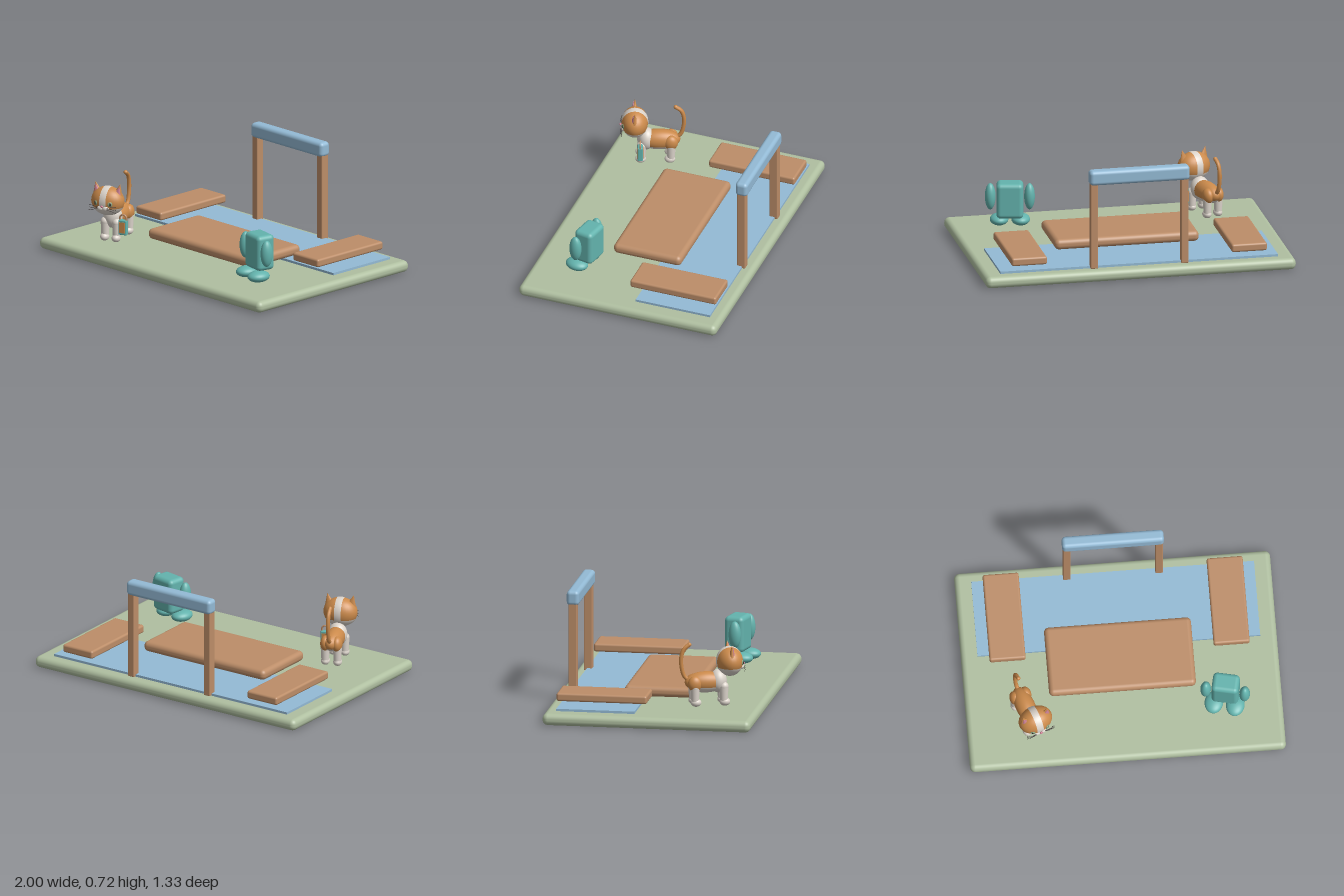
import * as THREE from 'three';
import { RoundedBoxGeometry } from 'three/addons/geometries/RoundedBoxGeometry.js';

const mat = (name, color) => {
  const m = new THREE.MeshStandardMaterial({ color });
  m.name = name;
  return m;
};

export function createModel() {
  const sage = mat('sage', 0xafbfa0);
  const blue = mat('skyBlue', 0x93bad5);
  const wood = mat('wood', 0xbc8d68);
  const teal = mat('teal', 0x63b3ad);
  const orange = mat('orangeFur', 0xcb8a4b);
  const cream = mat('creamFur', 0xdcd4cb);
  const pink = mat('pink', 0xcb8093);
  const dark = mat('dark', 0x3b3431);
  const green = mat('eyeGreen', 0x87a07c);

  const add = (parent, name, geo, m, x = 0, y = 0, z = 0) => {
    const mesh = new THREE.Mesh(geo, m);
    mesh.name = name;
    mesh.position.set(x, y, z);
    parent.add(mesh);
    return mesh;
  };
  const rbox = (w, h, d, r) => new RoundedBoxGeometry(w, h, d, 4, r);
  const ball = (rx, ry, rz, ...arcs) => new THREE.SphereGeometry(1, 32, 20, ...arcs).scale(rx, ry, rz);
  const tube = (pts, r, n = 24) =>
    new THREE.TubeGeometry(new THREE.CatmullRomCurve3(pts.map(p => new THREE.Vector3(...p))), n, r, 10);
  const group = (parent, name) => {
    const g = new THREE.Group();
    g.name = name;
    parent.add(g);
    return g;
  };

  const model = new THREE.Group();
  model.name = 'playground';

  // Ground slab, mat and central platform
  add(model, 'groundSlab', rbox(2, 0.075, 1.33, 0.034), sage, 0, 0.0375, 0);
  add(model, 'blueMat', new THREE.BoxGeometry(1.79, 0.015, 0.5), blue, 0, 0.0825, -0.34);
  add(model, 'platform', rbox(0.93, 0.068, 0.455, 0.03), wood, 0, 0.122, -0.002);

  // Benches and posts in mirrored pairs, joined by the beam
  for (const s of [-1, 1]) {
    add(model, 'bench', rbox(0.228, 0.053, 0.578, 0.014), wood, s * 0.709, 0.148, -0.313);
    add(model, 'post', rbox(0.048, 0.57, 0.055, 0.006), wood, s * 0.292, 0.36, -0.583);
  }
  add(model, 'beam', rbox(0.645, 0.095, 0.08, 0.024), blue, 0, 0.673, -0.583);

  // Seated teal figure
  const figure = group(model, 'tealFigure');
  figure.position.set(0.644, 0, 0.315);
  figure.rotation.y = -0.21;
  add(figure, 'body', rbox(0.17, 0.23, 0.128, 0.028), teal, 0, 0.272, 0);
  for (const s of [-1, 1]) {
    add(figure, 'arm', ball(0.034, 0.086, 0.04), teal, s * 0.124, 0.284, 0.026);
    add(figure, 'foot', ball(0.059, 0.036, 0.075), teal, s * 0.068, 0.126, 0.05);
  }

  // Cat
  const cat = group(model, 'cat');
  cat.position.set(-0.62, 0, 0.335);
  cat.rotation.y = 0.35;

  // Torso with pale belly and chest
  add(cat, 'torso', ball(0.062, 0.066, 0.135), orange, 0, 0.24, -0.015);
  add(cat, 'belly', ball(0.0635, 0.068, 0.133, 0, Math.PI * 2, 2.0, Math.PI - 2.0), cream, 0, 0.239, -0.015);
  add(cat, 'chest', ball(0.062, 0.075, 0.055), cream, 0, 0.243, 0.065);
  for (const s of [-1, 1]) {
    add(cat, 'haunch', ball(0.034, 0.05, 0.045), orange, s * 0.037, 0.235, -0.09);
    for (const z of [-0.09, 0.095]) {
      const leg = group(cat, z > 0 ? 'frontLeg' : 'hindLeg');
      leg.position.set(s * 0.04, 0, z);
      add(leg, 'shin', new THREE.CylinderGeometry(0.029, 0.024, 0.1, 20), cream, 0, 0.165, 0);
      add(leg, 'thigh', ball(0.029, 0.03, 0.029), cream, 0, 0.213, 0);
      add(leg, 'paw', ball(0.028, 0.026, 0.034), cream, 0, 0.115, 0.006);
    }
  }

  // Raised tail
  add(cat, 'tail', tube([[0, 0.25, -0.12], [0, 0.28, -0.152], [0, 0.335, -0.169],
    [0, 0.4, -0.172], [0, 0.455, -0.155], [0, 0.483, -0.12]], 0.013), orange);
  add(cat, 'tailTip', ball(0.013, 0.013, 0.013), orange, 0, 0.483, -0.12);

  // Head: fur shell, stripe along the crown, pale jaw
  const head = group(cat, 'head');
  head.position.set(0, 0.368, 0.138);
  add(head, 'skull', ball(0.11, 0.093, 0.084), orange);
  const stripe = new THREE.SphereGeometry(1, 40, 8, 0, Math.PI * 2, Math.PI / 2 - 0.2, 0.4)
    .rotateZ(Math.PI / 2).scale(0.111, 0.0945, 0.0855);
  add(head, 'crownStripe', stripe, cream);
  add(head, 'jaw', ball(0.1115, 0.0945, 0.0855, 0, Math.PI * 2, 1.95, Math.PI - 1.95), cream);

  // Face
  add(head, 'nose', ball(0.01, 0.007, 0.007), pink, 0, -0.018, 0.091);
  for (const s of [-1, 1]) {
    add(head, 'muzzle', ball(0.024, 0.018, 0.018), cream, s * 0.018, -0.034, 0.072);
    const eye = group(head, 'eye');
    eye.position.set(s * 0.05, -0.002, 0.0745);
    eye.rotation.y = s * 0.6;
    add(eye, 'iris', ball(0.016, 0.016, 0.006), green);
    add(eye, 'pupil', ball(0.006, 0.012, 0.004), dark, 0, 0, 0.004);
    for (const k of [-1, 0, 1]) {
      add(head, 'whisker', tube([[s * 0.03, -0.03 + k * 0.006, 0.085],
        [s * 0.062, -0.03 + k * 0.012, 0.088], [s * 0.095, -0.034 + k * 0.02, 0.08]], 0.0014, 8), dark);
    }

    // Ear with pink lining
    const ear = group(head, 'ear');
    ear.position.set(s * 0.077, 0.076, 0);
    ear.rotation.z = -s * 0.22;
    add(ear, 'earShell', new THREE.ConeGeometry(0.036, 0.085, 24).scale(1, 1, 0.55), orange);
    add(ear, 'earLining', new THREE.ConeGeometry(0.027, 0.068, 24).scale(1, 1, 0.55), pink, 0, -0.004, 0.008);
  }

  // Small lantern hanging beside the front leg
  const lantern = group(cat, 'lantern');
  lantern.position.set(0.09, 0.193, 0.103);
  add(lantern, 'lanternCase', rbox(0.056, 0.098, 0.032, 0.006), teal);
  add(lantern, 'lanternPanel', new THREE.BoxGeometry(0.04, 0.07, 0.038), orange);
  add(lantern, 'lanternHandle', new THREE.TorusGeometry(0.022, 0.006, 10, 24, Math.PI), wood, 0, 0.06, 0);
  for (const s of [-1, 1])
    add(lantern, 'handleEnd', new THREE.CylinderGeometry(0.006, 0.006, 0.016, 10), wood, s * 0.022, 0.053, 0);

  return model;
}
